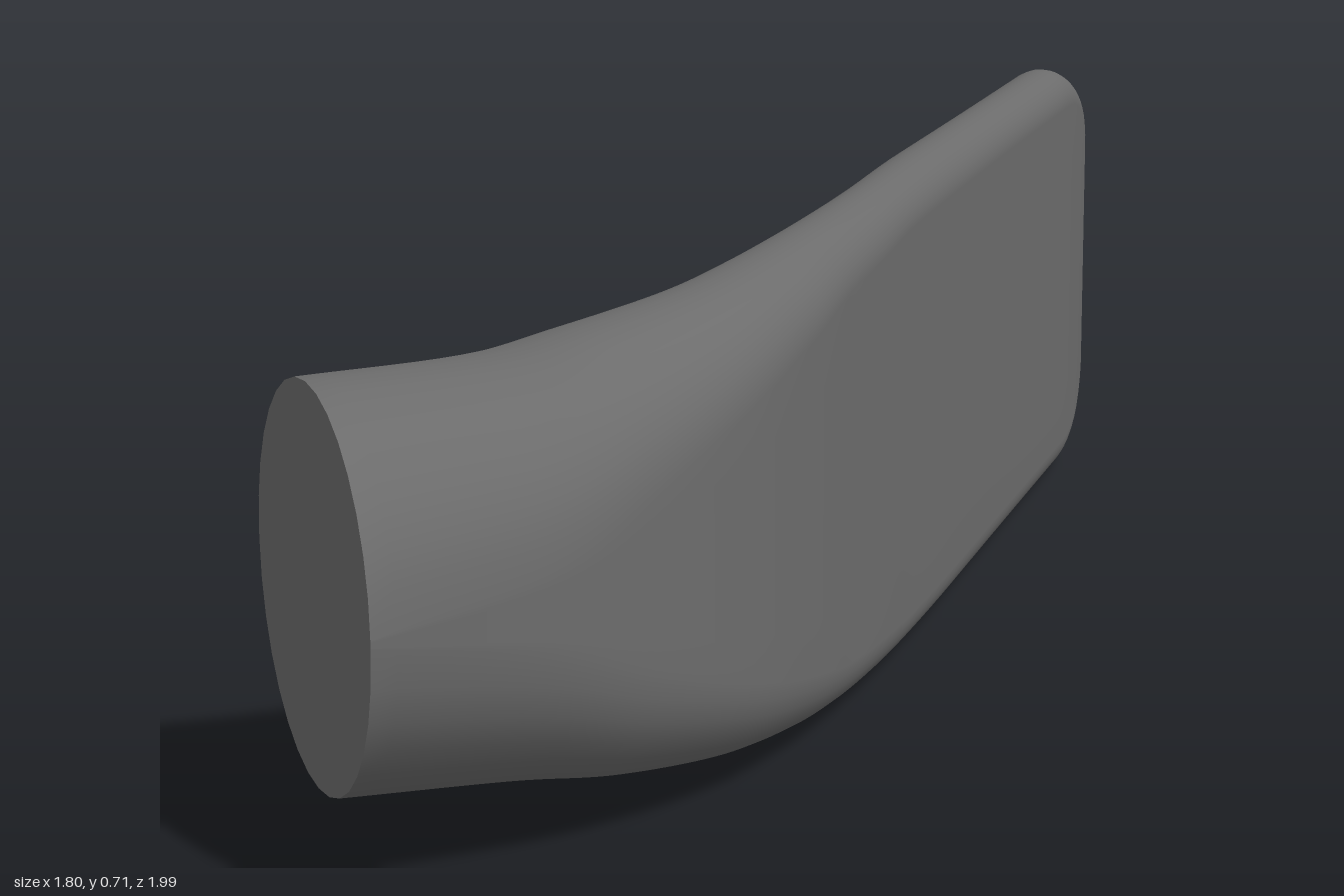
import * as THREE from 'three';

const MID_Y = 0.355;
const ARC = 16;      // steps per rounded edge
const FLAT = 6;      // steps per flat side
const TIP = 16;      // rings in the rounded tip
const BODY = 72;     // rings along the neck and grip

// Each section: back edge x, z; front edge x, z; half height
const SECTIONS = [
  [-0.90, 0.485, -0.87, 0.99, 0.258],
  [-0.70, 0.51, -0.64, 0.945, 0.268],
  [-0.58, 0.533, -0.48, 0.867, 0.29],
  [-0.42, 0.512, -0.31, 0.74, 0.312],
  [-0.30, 0.45, -0.18, 0.60, 0.328],
  [-0.20, 0.375, -0.08, 0.47, 0.339],
  [-0.10, 0.27, 0.02, 0.335, 0.346],
  [0.00, 0.15, 0.11, 0.207, 0.351],
  [0.15, -0.06, 0.25, 0.01, 0.355],
  [0.40, -0.405, 0.49, -0.33, 0.355],
  [0.66, -0.77, 0.75, -0.695, 0.355],
];

// Stadium-shaped ring: half thickness along w, half height along y
function ring(center, w, halfT, halfH) {
  const straight = Math.max(halfH - halfT, 0);
  const r = Math.min(halfT, halfH);
  const flat = [];
  for (let i = 0; i <= ARC; i++) {
    const a = (Math.PI * i) / ARC;
    flat.push([r * Math.cos(a), straight + r * Math.sin(a)]);
  }
  for (let i = 1; i < FLAT; i++) flat.push([-r, straight * (1 - (2 * i) / FLAT)]);
  for (let i = 0; i <= ARC; i++) {
    const a = Math.PI + (Math.PI * i) / ARC;
    flat.push([r * Math.cos(a), -straight + r * Math.sin(a)]);
  }
  for (let i = 1; i < FLAT; i++) flat.push([r, straight * ((2 * i) / FLAT - 1)]);
  return flat.map(([u, v]) => new THREE.Vector3(center.x + w.x * u, MID_Y + v, center.z + w.z * u));
}

// Skin between successive rings
function loft(rings) {
  const n = rings[0].length;
  const index = [];
  for (let i = 0; i < rings.length - 1; i++) {
    for (let j = 0; j < n; j++) {
      const k = (j + 1) % n;
      const a = i * n + j, b = a + n, c = (i + 1) * n + k, d = i * n + k;
      index.push(a, b, c, a, c, d);
    }
  }
  const geo = new THREE.BufferGeometry().setFromPoints(rings.flat());
  geo.setIndex(index);
  geo.computeVertexNormals();
  return geo;
}

// Flat fan closing one ring
function capOf(points) {
  const center = new THREE.Vector3();
  points.forEach((p) => center.addScaledVector(p, 1 / points.length));
  const index = [];
  points.forEach((_, j) => index.push(0, j + 1, ((j + 1) % points.length) + 1));
  const geo = new THREE.BufferGeometry().setFromPoints([center, ...points]);
  geo.setIndex(index);
  geo.computeVertexNormals();
  return geo;
}

export function createModel() {
  const group = new THREE.Group();
  group.name = 'leverHandle';
  const metal = new THREE.MeshStandardMaterial({ color: 0x6c6c6c });
  metal.name = 'dark grey';

  // Back and front edge rails, with the half height carried in y
  const back = new THREE.CatmullRomCurve3(
    SECTIONS.map((s) => new THREE.Vector3(s[0], s[4], s[1])), false, 'catmullrom', 0.5);
  const front = new THREE.CatmullRomCurve3(
    SECTIONS.map((s) => new THREE.Vector3(s[2], s[4], s[3])), false, 'catmullrom', 0.5);

  // Round neck bending and flattening into the straight grip
  const rings = [];
  let center, w, halfT, halfH;
  for (let i = 0; i <= BODY; i++) {
    const a = back.getPoint(i / BODY), b = front.getPoint(i / BODY);
    halfH = Math.min(a.y, MID_Y);
    a.y = b.y = 0;
    center = a.clone().add(b).multiplyScalar(0.5);
    w = b.clone().sub(a);
    halfT = w.length() / 2;
    w.normalize();
    rings.push(ring(center, w, halfT, halfH));
  }

  // Rounded tip
  const reach = new THREE.Vector3(0.897, 0, -1).sub(center);
  for (let i = 1; i <= TIP; i++) {
    const a = (Math.PI / 2) * (i / TIP);
    const f = Math.max(Math.cos(a), 0.001);
    const c = center.clone().addScaledVector(reach, Math.sin(a));
    rings.push(ring(c, w, halfT * f, halfH * f));
  }

  const lever = new THREE.Mesh(loft(rings), metal);
  lever.name = 'lever';
  const mount = new THREE.Mesh(capOf(rings[0]), metal);
  mount.name = 'mountingFace';
  group.add(lever, mount);
  return group;
}
